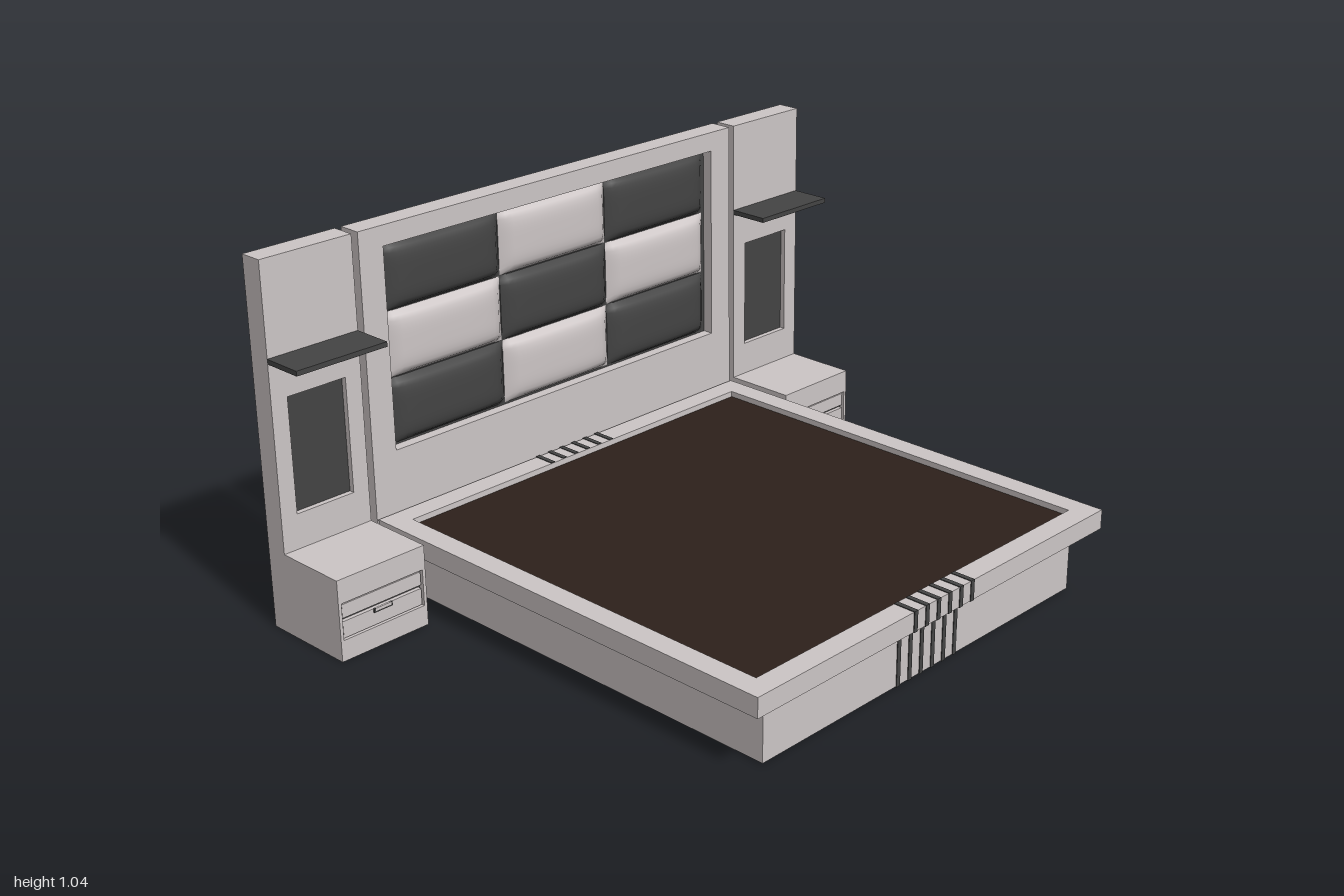
import * as THREE from 'three';

const mat = (color) => new THREE.MeshStandardMaterial({ color });
const LIGHT = mat(0xcdc6c6);
const DARK = mat(0x444444);
const BROWN = mat(0x2d201b);

function add(parent, name, geometry, material) {
  const mesh = new THREE.Mesh(geometry, material);
  mesh.name = name;
  parent.add(mesh);
  return mesh;
}

// Box given by its limits on each axis
function box(parent, name, material, [x0, x1], [y0, y1], [z0, z1]) {
  const mesh = add(parent, name, new THREE.BoxGeometry(x1 - x0, y1 - y0, z1 - z0), material);
  mesh.position.set((x0 + x1) / 2, (y0 + y1) / 2, (z0 + z1) / 2);
  return mesh;
}

function rect(Type, u0, u1, v0, v1) {
  const p = new Type();
  p.moveTo(u0, v0);
  p.lineTo(u1, v0);
  p.lineTo(u1, v1);
  p.lineTo(u0, v1);
  p.closePath();
  return p;
}

// Upright board facing +x, symmetric in z, with a rectangular opening
function board(parent, name, [x0, x1], [y0, y1], halfW, [h0, h1], holeHalf) {
  const shape = rect(THREE.Shape, -halfW, halfW, y0, y1);
  shape.holes.push(rect(THREE.Path, -holeHalf, holeHalf, h0, h1));
  const g = new THREE.ExtrudeGeometry(shape, { depth: x1 - x0, bevelEnabled: false });
  g.rotateY(Math.PI / 2).translate(x0, 0, 0);
  return add(parent, name, g, LIGHT);
}

// Skin through a stack of rectangles [x0, x1, halfZ, y], closed underneath
function rectLoft(rings) {
  const pos = [];
  const corners = ([x0, x1, h, y]) => [[x0, y, h], [x1, y, h], [x1, y, -h], [x0, y, -h]];
  const quad = (a, b, c, d) => pos.push(...a, ...b, ...c, ...a, ...c, ...d);
  for (let i = 0; i < rings.length - 1; i++) {
    const a = corners(rings[i]), b = corners(rings[i + 1]);
    for (let k = 0; k < 4; k++) {
      const n = (k + 1) % 4;
      quad(a[k], a[n], b[n], b[k]);
    }
  }
  const c = corners(rings[0]);
  quad(c[3], c[2], c[1], c[0]);
  const g = new THREE.BufferGeometry();
  g.setAttribute('position', new THREE.Float32BufferAttribute(pos, 3));
  g.computeVertexNormals();
  return g;
}

// Upholstered pad bulging towards +x
function padGeometry(w, h, bulge) {
  const g = new THREE.PlaneGeometry(w, h, 20, 14);
  const p = g.attributes.position;
  for (let i = 0; i < p.count; i++) {
    const u = (2 * p.getX(i)) / w, v = (2 * p.getY(i)) / h;
    const s = Math.max(0, (1 - u ** 4) * (1 - v ** 4));
    p.setZ(i, bulge * Math.sqrt(s));
  }
  g.rotateY(Math.PI / 2);
  g.computeVertexNormals();
  return g;
}

function makeBed() {
  const bed = new THREE.Group();
  bed.name = 'bed';
  // Plinth, sloping underside, rim and recess wall in one skin
  add(bed, 'bedFrame', rectLoft([
    [-0.65, 0.68, 0.622, 0.002], [-0.65, 0.68, 0.622, 0.163],
    [-0.66, 0.73, 0.695, 0.175], [-0.66, 0.73, 0.695, 0.232],
    [-0.595, 0.665, 0.63, 0.232], [-0.595, 0.665, 0.63, 0.205],
  ]), LIGHT);
  box(bed, 'sleepingBoard', BROWN, [-0.595, 0.665], [0.19, 0.215], [-0.63, 0.63]);

  // Dark inlaid bands wrapping around the frame
  const outline = [
    [-0.652, 0], [0.682, 0], [0.682, 0.162], [0.732, 0.174], [0.732, 0.234], [0.666, 0.234],
    [0.666, 0.18], [-0.596, 0.18], [-0.596, 0.234], [-0.662, 0.234], [-0.662, 0.174], [-0.652, 0.162],
  ].map(([x, y]) => new THREE.Vector2(x, y));
  const band = new THREE.ExtrudeGeometry(new THREE.Shape(outline), { depth: 0.014, bevelEnabled: false });
  for (let i = 0; i < 6; i++) {
    add(bed, 'inlayBand', band, DARK).position.z = (i - 2.5) * 0.046 - 0.007;
  }
  return bed;
}

function makeHeadboard() {
  const head = new THREE.Group();
  head.name = 'headboard';
  box(head, 'headboardBack', LIGHT, [-0.735, -0.7], [0, 1.045], [-0.695, 0.695]);
  board(head, 'headboardFront', [-0.7, -0.666], [0, 1.045], 0.695, [0.41, 0.988], 0.616);
  box(head, 'padBacking', DARK, [-0.702, -0.698], [0.41, 0.988], [-0.616, 0.616]);
  // Checkered pads, three by three
  const w = 0.403, h = 0.19;
  const pad = padGeometry(w - 0.003, h - 0.003, 0.03);
  for (let r = -1; r <= 1; r++) {
    for (let c = -1; c <= 1; c++) {
      add(head, 'pad', pad, (r + c) % 2 === 0 ? DARK : LIGHT).position.set(-0.697, 0.7 + r * h, c * w);
    }
  }
  return head;
}

// Side panel with shelf and night table, centred on its own z = 0
function makeSideUnit() {
  const unit = new THREE.Group();
  const W = 0.1425;
  box(unit, 'sidePanelBack', LIGHT, [-0.735, -0.685], [0, 1.045], [-W, W]);
  board(unit, 'sidePanelFront', [-0.685, -0.666], [0, 1.045], W, [0.335, 0.665], 0.092);
  box(unit, 'darkInset', DARK, [-0.687, -0.682], [0.335, 0.665], [-0.092, 0.092]);
  box(unit, 'shelf', DARK, [-0.667, -0.545], [0.768, 0.782], [-W, W]);
  box(unit, 'shelfLamp', LIGHT, [-0.62, -0.592], [0.766, 0.769], [-0.02, 0.02]);

  // Night table with a recessed drawer opening
  box(unit, 'nightTable', LIGHT, [-0.667, -0.465], [0, 0.235], [-W, W]);
  board(unit, 'nightTableFront', [-0.465, -0.445], [0, 0.235], W, [0.06, 0.166], 0.133);
  box(unit, 'drawerGap', DARK, [-0.466, -0.462], [0.06, 0.166], [-0.133, 0.133]);
  for (const [y0, y1] of [[0.063, 0.111], [0.121, 0.16]]) {
    box(unit, 'drawerFront', LIGHT, [-0.464, -0.45], [y0, y1], [-0.129, 0.129]);
  }
  box(unit, 'drawerHandle', DARK, [-0.452, -0.446], [0.1, 0.112], [-0.03, 0.03]);
  box(unit, 'handlePlate', LIGHT, [-0.45, -0.4455], [0.104, 0.112], [-0.025, 0.025]);
  return unit;
}

export function createModel() {
  const model = new THREE.Group();
  model.name = 'bedWithNightTables';
  model.add(makeBed(), makeHeadboard());
  for (const side of [1, -1]) {
    const unit = makeSideUnit();
    unit.name = side > 0 ? 'leftSideUnit' : 'rightSideUnit';
    unit.position.z = side * 0.8575;
    model.add(unit);
  }
  return model;
}
